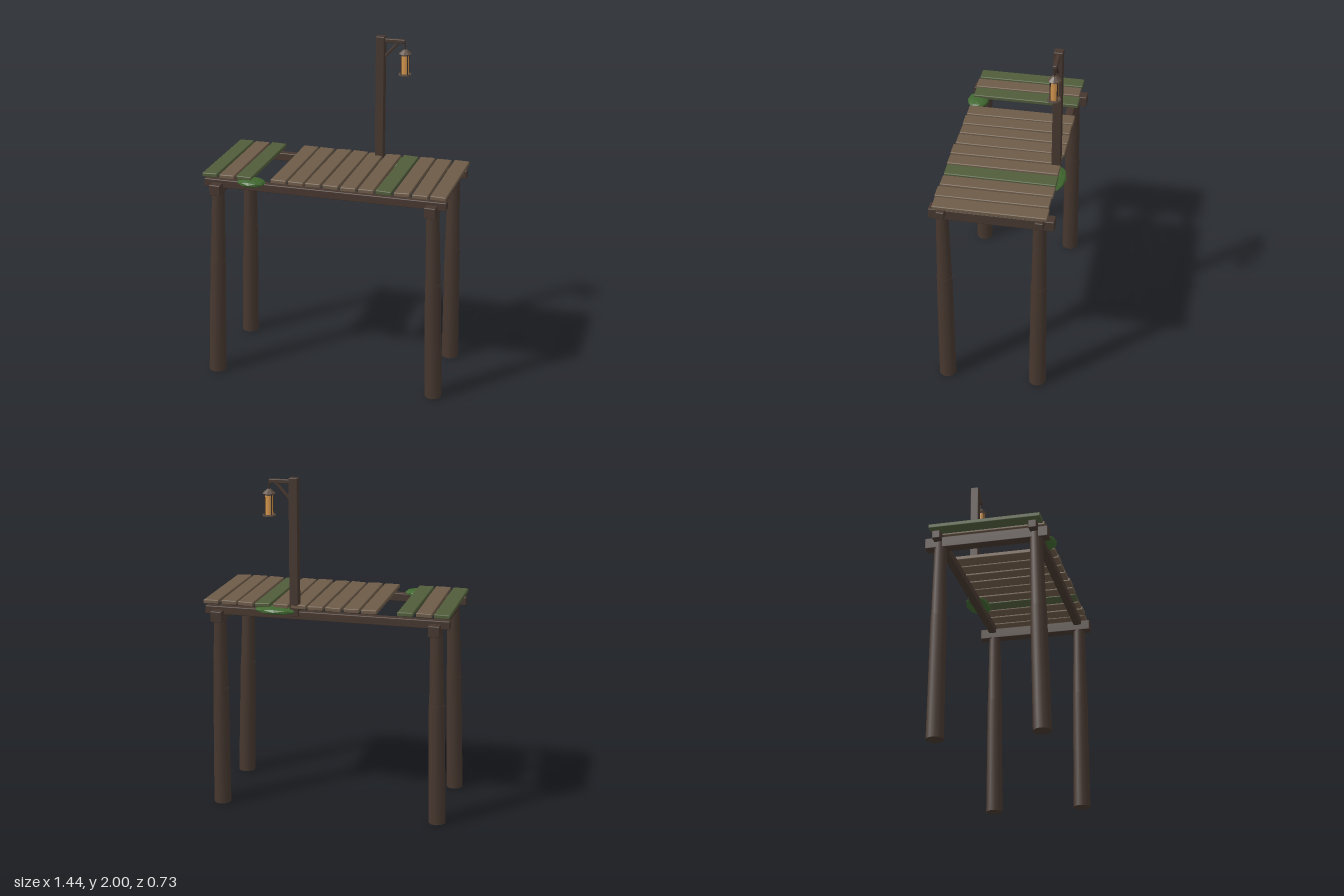
import * as THREE from 'three';
import { RoundedBoxGeometry } from 'three/addons/geometries/RoundedBoxGeometry.js';

const mat = (name, color, flatShading = false) => {
  const m = new THREE.MeshStandardMaterial({ color, flatShading });
  m.name = name;
  return m;
};

export function createModel() {
  const model = new THREE.Group();
  const darkWood = mat('dark wood', 0x46372f);
  const plankWood = mat('plank wood', 0x6d5b48);
  const mossyWood = mat('mossy wood', 0x505c3a);
  const moss = mat('moss', 0x40662f, true);
  const metal = mat('lantern metal', 0x5c4d42, true);
  const iron = mat('dark iron', 0x382d28);
  const glow = mat('lantern glow', 0xd0934c);

  const add = (name, geometry, material, x, y, z) => {
    const mesh = new THREE.Mesh(geometry, material);
    mesh.name = name;
    mesh.position.set(x, y, z);
    model.add(mesh);
    return mesh;
  };
  const box = (name, w, h, d, material, x, y, z) =>
    add(name, new RoundedBoxGeometry(w, h, d, 1, 0.005), material, x, y, z);

  // Tapered round strut between two points
  const strut = (name, a, b, ra, rb, material, sides = 10) => {
    const dir = b.clone().sub(a);
    const mid = a.clone().add(b).multiplyScalar(0.5);
    const mesh = add(name, new THREE.CylinderGeometry(rb, ra, dir.length(), sides), material, mid.x, mid.y, mid.z);
    mesh.quaternion.setFromUnitVectors(new THREE.Vector3(0, 1, 0), dir.normalize());
    return mesh;
  };

  // Splayed legs, each of two stacked logs: [top x, top z, foot x, foot z]
  [
    [-0.64, 0.28, -0.668, 0.312],
    [0.64, 0.28, 0.668, 0.27],
    [-0.64, -0.268, -0.665, -0.268],
    [0.64, -0.268, 0.65, -0.268],
  ].forEach(([tx, tz, fx, fz]) => {
    const foot = new THREE.Vector3(fx, 0.005, fz);
    const top = new THREE.Vector3(tx, 1.19, tz);
    const joint = foot.clone().lerp(top, 0.608);
    strut('lowerLeg', foot, joint, 0.051, 0.046, darkWood);
    strut('upperLeg', joint, top, 0.044, 0.036, darkWood);
  });

  // Frame under the deck
  for (const s of [-1, 1]) {
    box('longBeam', 1.44, 0.048, 0.047, darkWood, 0, 1.205, s * 0.275);
    box('crossBeam', 0.066, 0.064, 0.705, darkWood, s * 0.638, 1.178, 0);
  }

  // Deck planks, slightly uneven, with one missing
  const zShift = [0, 0.004, -0.002, 0, -0.002, 0.001, -0.002, -0.001, 0.007, 0.004, 0, 0, 0.006, 0];
  zShift.forEach((dz, i) => {
    if (i === 3) return;
    const mossy = i === 0 || i === 2 || i === 10;
    const plank = box(mossy ? 'mossyPlank' : 'plank', 0.091, 0.024, 0.64,
      mossy ? mossyWood : plankWood, -0.677 + i * 0.1041, 1.259, dz);
    plank.rotation.z = 0.035 * Math.sin(i * 2.3 + 0.6);
    plank.rotation.y = 0.006 * Math.sin(i * 1.7);
  });

  // Moss clumps on the beams
  [
    [-0.43, 1.232, 0.29, 0.085, 0.025, 0.066],
    [0.29, 1.23, -0.288, 0.128, 0.025, 0.075],
  ].forEach(([x, y, z, rx, ry, rz]) => {
    add('mossClump', new THREE.IcosahedronGeometry(1, 1), moss, x, y, z).scale.set(rx, ry, rz);
  });

  // Lamp post, arm and brace
  const pz = -0.287, lx = 0.326;
  box('lampPost', 0.052, 0.8, 0.052, darkWood, 0.18, 1.6, pz);
  box('lampArm', 0.145, 0.024, 0.024, darkWood, 0.253, 1.976, pz);
  const brace = box('lampBrace', 0.12, 0.016, 0.018, darkWood, 0.243, 1.922, pz);
  brace.rotation.z = 0.83;

  // Hanging lantern
  const cylinder = (name, rTop, rBottom, h, y, material, sides = 8) =>
    add(name, new THREE.CylinderGeometry(rTop, rBottom, h, sides), material, lx, y, pz);
  cylinder('lanternHook', 0.004, 0.004, 0.05, 1.945, iron, 6);
  cylinder('lanternRoof', 0.012, 0.039, 0.024, 1.917, metal);
  cylinder('lanternCollar', 0.028, 0.028, 0.012, 1.9, metal);
  cylinder('lanternGlass', 0.023, 0.023, 0.115, 1.842, glow, 12);
  cylinder('lanternBase', 0.039, 0.039, 0.009, 1.78, metal);
  for (const sx of [-1, 1]) for (const sz of [-1, 1]) {
    add('lanternBar', new THREE.CylinderGeometry(0.003, 0.003, 0.122, 6), iron,
      lx + sx * 0.0195, 1.842, pz + sz * 0.0195);
  }

  return model;
}
